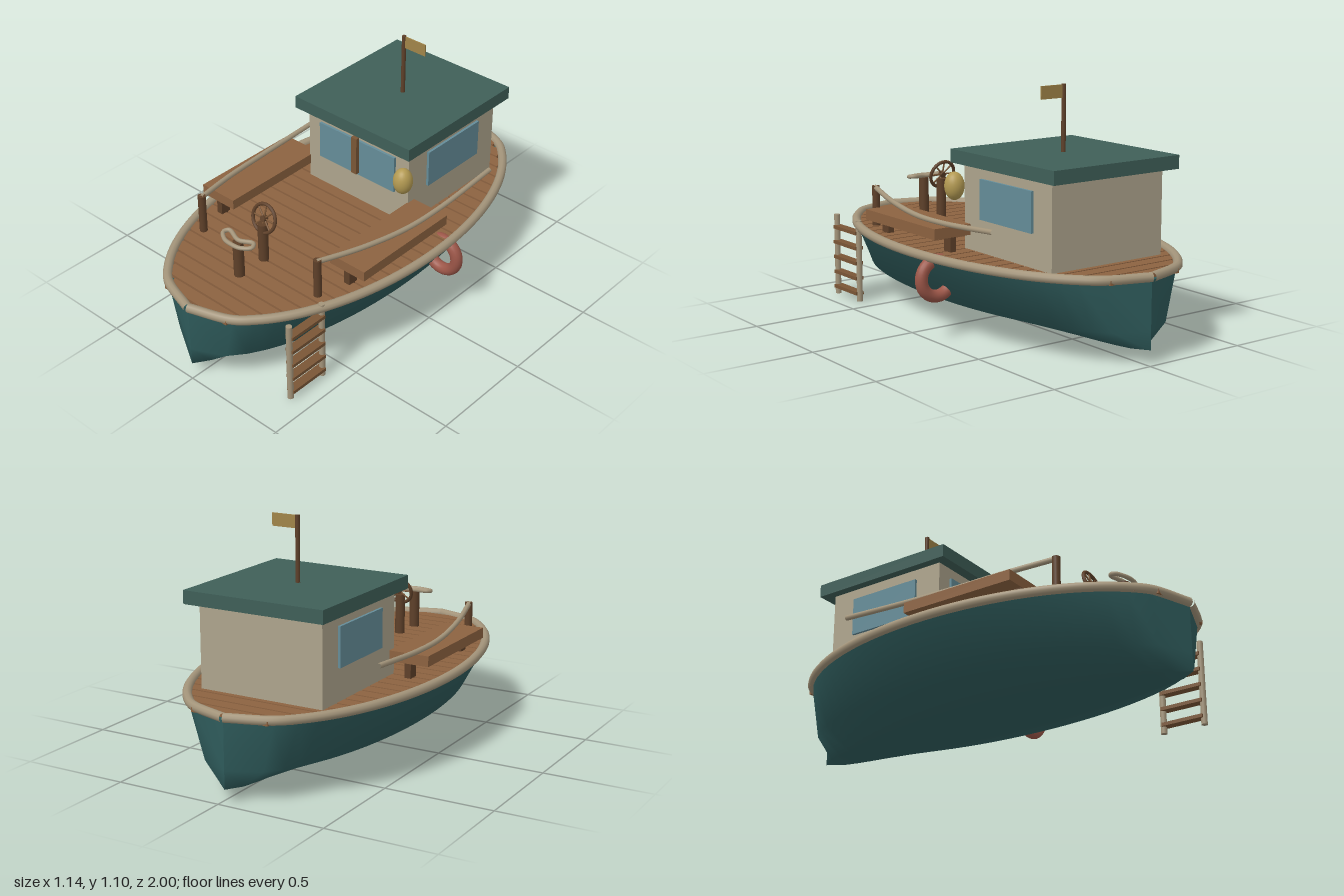
import * as THREE from 'three';

const mat = (color, side = THREE.FrontSide) => new THREE.MeshStandardMaterial({ color, side });
const TEAL = mat(0x2f5c5c, THREE.DoubleSide), ROOF = mat(0x3f5f58), WALL = mat(0xada48c);
const GLASS = mat(0x648c98), PLANK = mat(0x8c6240), WOOD = mat(0x5e4029), SPOKE = mat(0x7a5636);
const ROPE = mat(0xa3947a), GOLD = mat(0xb39a52), FLAG = mat(0xa08448), RED = mat(0x9c5648);

const L = 0.98, W = 0.53, STATIONS = 28;
// half width of the elliptical plan, as a fraction of the beam
const plan = (z) => Math.sqrt(Math.max(0, 1 - (z / L) ** 2));
const stationZ = (i) => -L + (2 * L * i) / STATIONS;

export function createModel() {
  const boat = new THREE.Group();
  boat.name = 'boat';
  boat.position.x = -0.02; // boat centre line; the rescue ring widens one side

  const add = (name, geo, material, x = 0, y = 0, z = 0) => {
    const m = new THREE.Mesh(geo, material);
    m.name = name;
    m.position.set(x, y, z);
    boat.add(m);
    return m;
  };
  const box = (name, w, h, d, material, x, y, z) =>
    add(name, new THREE.BoxGeometry(w, h, d), material, x, y, z);
  const post = (name, r, y0, y1, material, x, z) =>
    add(name, new THREE.CylinderGeometry(r, r, y1 - y0, 16), material, x, (y0 + y1) / 2, z);
  const tube = (name, pts, r, closed = false, segs = 48) => {
    const curve = new THREE.CatmullRomCurve3(pts.map((p) => new THREE.Vector3(...p)), closed);
    return add(name, new THREE.TubeGeometry(curve, segs, r, 10, closed), ROPE);
  };

  // Hull: one section scaled along the ellipse
  const section = [[W, 0.355], [0.39, 0.14], [0.125, 0.06], [-0.125, 0.06], [-0.39, 0.14], [-W, 0.355]];
  const n = section.length, pos = [], idx = [];
  for (let i = 0; i <= STATIONS; i++) {
    const z = stationZ(i);
    for (const [x, y] of section) pos.push(x * plan(z), y, z);
  }
  for (let i = 0; i < STATIONS; i++) {
    for (let j = 0; j < n - 1; j++) {
      const a = i * n + j, b = a + 1, c = a + n, d = c + 1;
      idx.push(a, b, c, b, d, c);
    }
  }
  const hull = new THREE.BufferGeometry();
  hull.setAttribute('position', new THREE.Float32BufferAttribute(pos, 3));
  hull.setIndex(idx);
  hull.computeVertexNormals();
  add('hull', hull, TEAL);

  // Flat cover under the planks
  const outline = [];
  for (let i = 0; i <= STATIONS; i++) outline.push(new THREE.Vector2(W * plan(stationZ(i)), stationZ(i)));
  for (let i = STATIONS - 1; i > 0; i--) outline.push(new THREE.Vector2(-W * plan(stationZ(i)), stationZ(i)));
  add('deckBase', new THREE.ShapeGeometry(new THREE.Shape(outline)).rotateX(-Math.PI / 2), TEAL, 0, 0.353, 0);

  // Deck planks across the boat
  for (let i = 0; i < STATIONS - 1; i++) {
    const z = (i - 13) * 0.07;
    box('deckPlank', 2 * W * plan(z) - 0.02, 0.02, 0.06, PLANK, 0, 0.36, z);
  }

  // Rub rails, benches, rail posts and hand ropes on both sides
  for (const s of [1, -1]) {
    const rail = [];
    for (let i = 0; i <= STATIONS; i++) rail.push([s * W * plan(stationZ(i)), 0.368, stationZ(i)]);
    tube('rubRail', rail, 0.021, false, 120);

    box('benchSeat', 0.195, 0.048, 0.555, PLANK, s * 0.393, 0.46, 0.14);
    for (const z of [0.39, -0.11]) box('benchLeg', 0.03, 0.075, 0.05, WOOD, s * 0.39, 0.402, z);

    post('railPost', 0.018, 0.36, 0.558, WOOD, s * 0.35, 0.555);
    tube('handRope', [[s * 0.35, 0.55, 0.56], [s * 0.405, 0.525, 0.33], [s * 0.44, 0.506, 0.08],
      [s * 0.45, 0.507, -0.15], [s * 0.446, 0.527, -0.5]], 0.012);
  }

  // Cabin with roof and windows
  box('cabin', 0.6, 0.39, 0.61, WALL, 0, 0.555, -0.4);
  box('roof', 0.68, 0.06, 0.72, ROOF, 0, 0.778, -0.405);
  box('frontWindow', 0.45, 0.182, 0.02, GLASS, 0, 0.605, -0.093);
  box('windowBar', 0.032, 0.19, 0.02, SPOKE, 0, 0.62, -0.075);
  for (const s of [1, -1]) box('sideWindow', 0.024, 0.178, 0.36, GLASS, s * 0.3, 0.607, -0.402);

  // Lantern
  add('lantern', new THREE.SphereGeometry(0.045, 24, 16), GOLD, 0.315, 0.64, -0.038).scale.y = 1.4;

  // Mast and flag
  post('mast', 0.01, 0.8, 1.1, WOOD, 0, -0.405);
  box('flag', 0.115, 0.057, 0.006, FLAG, 0.067, 1.07, -0.405);

  // Steering wheel on its post
  post('wheelPost', 0.023, 0.36, 0.56, WOOD, 0, 0.525);
  const wheel = new THREE.Group();
  wheel.name = 'steeringWheel';
  wheel.position.set(0, 0.582, 0.515);
  wheel.rotation.x = -0.3;
  const part = (name, geo, material) => {
    const m = new THREE.Mesh(geo, material);
    m.name = name;
    wheel.add(m);
    return m;
  };
  part('wheelRim', new THREE.TorusGeometry(0.065, 0.008, 10, 32), WOOD);
  part('wheelHub', new THREE.CylinderGeometry(0.014, 0.014, 0.024, 16).rotateX(Math.PI / 2), WOOD);
  for (let i = 0; i < 4; i++) {
    part('wheelSpoke', new THREE.CylinderGeometry(0.004, 0.004, 0.13, 8), SPOKE).rotation.z = (i * Math.PI) / 4;
  }
  boat.add(wheel);

  // Mooring post with a loop of rope
  post('mooringPost', 0.024, 0.36, 0.545, WOOD, 0, 0.675);
  tube('mooringRope', [[-0.075, 0.558, 0.652], [0, 0.552, 0.672], [0.07, 0.558, 0.652], [0.085, 0.555, 0.675],
    [0.045, 0.55, 0.705], [0, 0.55, 0.712], [-0.05, 0.55, 0.705], [-0.088, 0.555, 0.675]], 0.01, true);

  // Boarding ladder
  for (const z of [0.605, 0.803]) post('ladderRail', 0.014, 0, 0.39, ROPE, 0.418, z);
  for (let i = 0; i < 5; i++) box('ladderRung', 0.042, 0.016, 0.2, SPOKE, 0.418, 0.038 + i * 0.073, 0.704);

  // Rescue ring
  add('rescueRing', new THREE.TorusGeometry(0.08, 0.028, 16, 40), RED, 0.478, 0.268, -0.135);

  const model = new THREE.Group();
  model.name = 'model';
  model.add(boat);
  return model;
}
